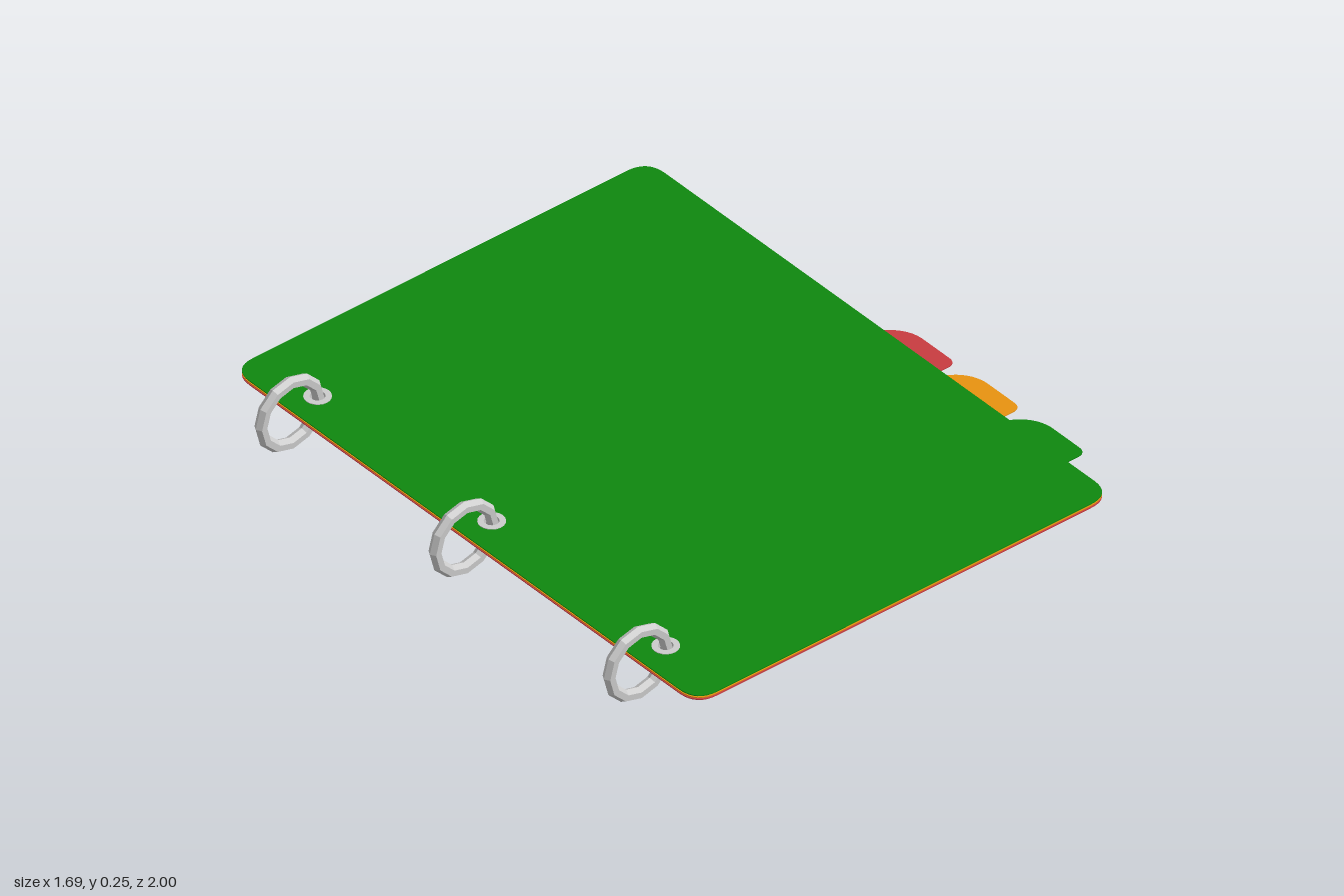
import * as THREE from 'three';

const RING_Z = [-0.75, 0, 0.75];
const RING_Y = 0.124;
const HOLE_X = -0.622;
const LEFT = -0.72, RIGHT = 0.775, CORNER = 0.075;

const mat = (color, flatShading = false) =>
  new THREE.MeshStandardMaterial({ color, flatShading, side: THREE.DoubleSide });

// Rounded sheet with an index tab starting at z = tabZ and three punched holes
function sheetShape(tabZ) {
  const r = CORNER, tabX = 0.842;
  const s = new THREE.Shape();
  s.moveTo(LEFT + r, -1);
  s.lineTo(RIGHT - r, -1);
  s.quadraticCurveTo(RIGHT, -1, RIGHT, -1 + r);
  // tab: small curve at the front end, long curve at the back end
  s.lineTo(RIGHT, -tabZ - 0.25);
  s.lineTo(tabX - 0.03, -tabZ - 0.25);
  s.quadraticCurveTo(tabX, -tabZ - 0.25, tabX, -tabZ - 0.22);
  s.lineTo(tabX, -tabZ - 0.1);
  s.quadraticCurveTo(tabX - 0.005, -tabZ - 0.035, RIGHT, -tabZ);
  s.lineTo(RIGHT, 1 - r);
  s.quadraticCurveTo(RIGHT, 1, RIGHT - r, 1);
  s.lineTo(LEFT + r, 1);
  s.quadraticCurveTo(LEFT, 1, LEFT, 1 - r);
  s.lineTo(LEFT, -1 + r);
  s.quadraticCurveTo(LEFT, -1, LEFT + r, -1);
  for (const z of RING_Z) {
    s.holes.push(new THREE.Path().absarc(HOLE_X, -z, 0.025, 0, Math.PI * 2, true));
  }
  return s;
}

export function createModel() {
  const model = new THREE.Group();
  model.name = 'ringBinderDividers';

  // Three stacked divider sheets
  const sheets = [
    ['bottomDivider', 0xc83c40, 0.0, 0.117],
    ['middleDivider', 0xe8920f, 0.28, 0.1235],
    ['topDivider', 0x0e880e, 0.56, 0.13],
  ];
  for (const [name, color, tabZ, y] of sheets) {
    const geo = new THREE.ExtrudeGeometry(sheetShape(tabZ), {
      depth: 0.003, bevelEnabled: false, curveSegments: 8,
    });
    geo.rotateX(-Math.PI / 2);
    const sheet = new THREE.Mesh(geo, mat(color));
    sheet.name = name;
    sheet.position.y = y;
    model.add(sheet);
  }

  // Binder rings, each passing through a flat eyelet
  const metal = mat(0xcccccc, true);
  const ringGeo = new THREE.TorusGeometry(0.104, 0.019, 6, 12);
  const h = 0.01;
  const eyeletGeo = new THREE.LatheGeometry(
    [[0.022, -h], [0.04, -h], [0.04, h], [0.022, h], [0.022, -h]]
      .map(([x, y]) => new THREE.Vector2(x, y)), 20);
  for (const z of RING_Z) {
    const ring = new THREE.Mesh(ringGeo, metal);
    ring.name = 'binderRing';
    ring.position.set(-0.722, RING_Y, z);
    const eyelet = new THREE.Mesh(eyeletGeo, metal);
    eyelet.name = 'eyelet';
    eyelet.position.set(HOLE_X, 0.125, z);
    model.add(ring, eyelet);
  }
  return model;
}
